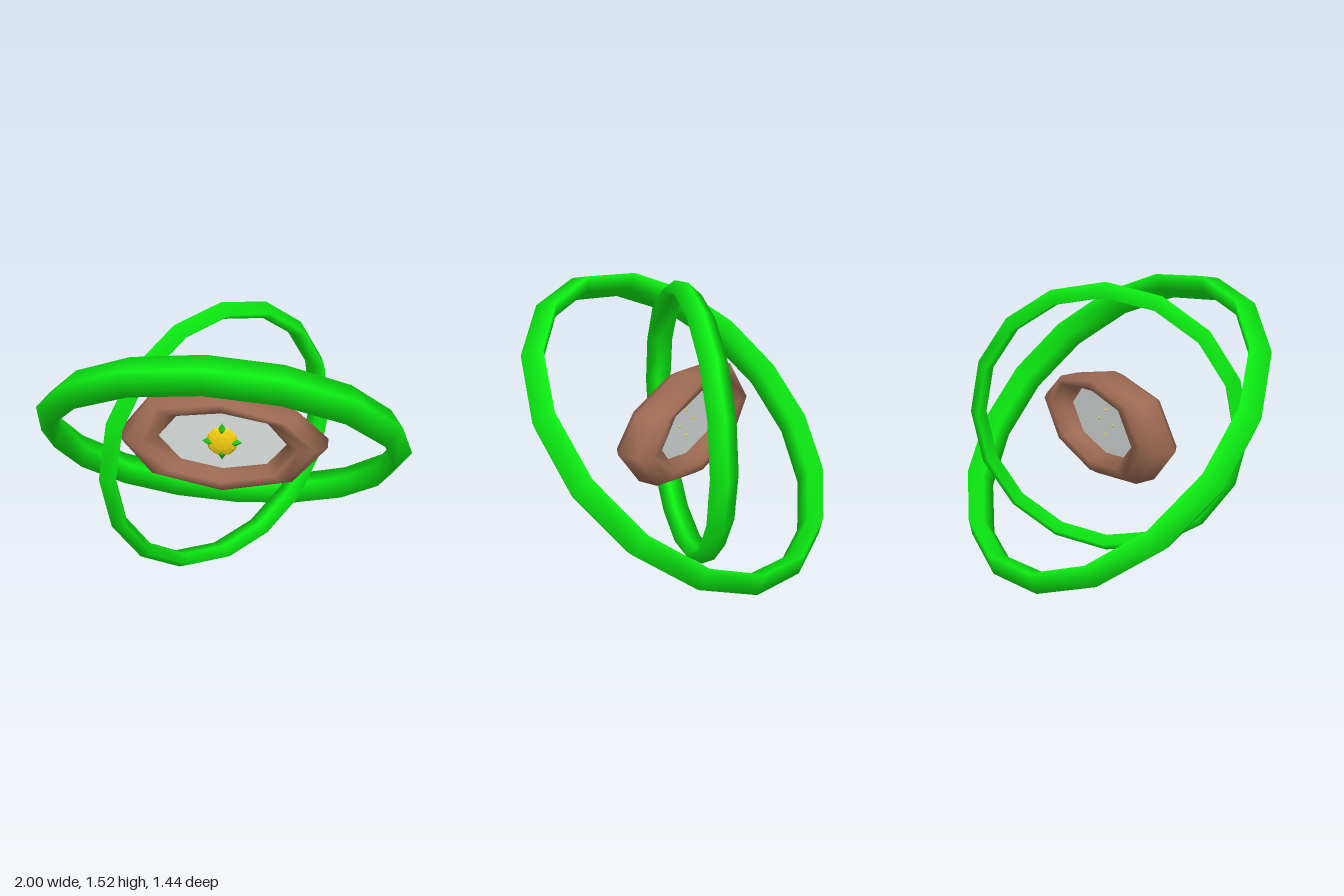
import * as THREE from 'three';
import { mergeVertices } from 'three/addons/utils/BufferGeometryUtils.js';

const CENTER_Y = 0.767;
const mat = (color, extra = {}) => new THREE.MeshStandardMaterial({ color, ...extra });
const v2 = (x, y) => new THREE.Vector2(x, y);

function add(parent, name, geometry, material) {
  const mesh = new THREE.Mesh(geometry, material);
  mesh.name = name;
  parent.add(mesh);
  return mesh;
}

// Sixteen-sided hoop with a wide, thin diamond section
function hoopGeometry() {
  const section = [[0.998, -0.015], [0.933, 0.085], [0.887, 0.005], [0.912, -0.106], [0.998, -0.015]];
  const geo = new THREE.LatheGeometry(section.map(([r, n]) => v2(r, n)), 16);
  geo.deleteAttribute('normal');
  geo.deleteAttribute('uv');
  const merged = mergeVertices(geo, 1e-4);
  merged.computeVertexNormals();
  return merged;
}

// Eight-cornered frame swept with a bevelled section between two outlines
function frameGeometry(outer, inner) {
  const section = [[0, -0.055], [0, 0.055], [0.3, 0.105], [0.7, 0.105],
    [1, 0.055], [1, -0.055], [0.7, -0.105], [0.3, -0.105]];
  const pos = [], idx = [], n = outer.length, m = section.length;
  for (let i = 0; i < n; i++) {
    for (const [t, z] of section) {
      const p = outer[i].clone().lerp(inner[i], t);
      pos.push(p.x, p.y, z);
    }
    for (let j = 0; j < m; j++) {
      const i2 = (i + 1) % n, j2 = (j + 1) % m;
      const a = i * m + j, b = i2 * m + j, c = i2 * m + j2, d = i * m + j2;
      idx.push(a, b, c, a, c, d);
    }
  }
  const geo = new THREE.BufferGeometry();
  geo.setAttribute('position', new THREE.Float32BufferAttribute(pos, 3));
  geo.setIndex(idx);
  geo.computeVertexNormals();
  return geo;
}

export function createModel() {
  const model = new THREE.Group();
  model.name = 'ringedFlowerFrame';
  const body = new THREE.Group();
  body.name = 'body';
  body.position.y = CENTER_Y;
  model.add(body);

  // Two crossed hoops
  const green = mat(0x0cf012);
  const hoop = hoopGeometry();
  const outerHoop = add(body, 'outerHoop', hoop, green);
  outerHoop.rotation.x = -Math.PI / 4;
  const innerHoop = add(body, 'innerHoop', hoop, green);
  innerHoop.scale.setScalar(0.763);
  innerHoop.rotation.set(Math.PI / 2, Math.PI / 4, 0, 'YXZ');

  // Eye-shaped frame and its pane
  const outer = [[0.56, 0.01], [0.39, 0.16], [0, 0.275], [-0.385, 0.23],
    [-0.56, 0.01], [-0.38, -0.205], [0, -0.285], [0.38, -0.205]].map(p => v2(...p));
  const inner = [[0.355, 0.005], [0.23, 0.145], [0, 0.175], [-0.24, 0.145],
    [-0.355, 0.005], [-0.23, -0.135], [0, -0.178], [0.24, -0.135]].map(p => v2(...p));
  add(body, 'frame', frameGeometry(outer, inner), mat(0x9c6a52));
  const paneOutline = inner.map((p, i) => p.clone().lerp(outer[i], 0.1));
  add(body, 'pane', new THREE.ShapeGeometry(new THREE.Shape(paneOutline)),
    mat(0xd8dfdc, { side: THREE.DoubleSide }));

  // Flower on the front of the pane
  const flower = new THREE.Group();
  flower.name = 'flower';
  body.add(flower);
  const yellow = mat(0xf2cc10, { flatShading: true });
  const leafGreen = mat(0x22c010, { flatShading: true });
  const heart = add(flower, 'flowerHeart', new THREE.SphereGeometry(0.085, 12, 6), yellow);
  heart.rotation.x = Math.PI / 2;
  heart.scale.y = 0.35;
  heart.position.z = 0.031;
  for (let i = 0; i < 4; i++) {
    const arm = new THREE.Group();
    arm.name = 'flowerArm';
    arm.rotation.z = i * Math.PI / 2;
    flower.add(arm);
    const leaf = add(arm, 'leaf', new THREE.OctahedronGeometry(1), leafGreen);
    leaf.scale.set(0.04, 0.025, 0.03);
    leaf.position.set(0.068, 0, 0.035);
    // Stud that pokes through the back of the pane
    const stud = add(arm, 'stud', new THREE.ConeGeometry(0.018, 0.04, 4), yellow);
    stud.rotation.x = -Math.PI / 2;
    stud.position.set(0.07, 0, 0.005);
  }
  return model;
}
